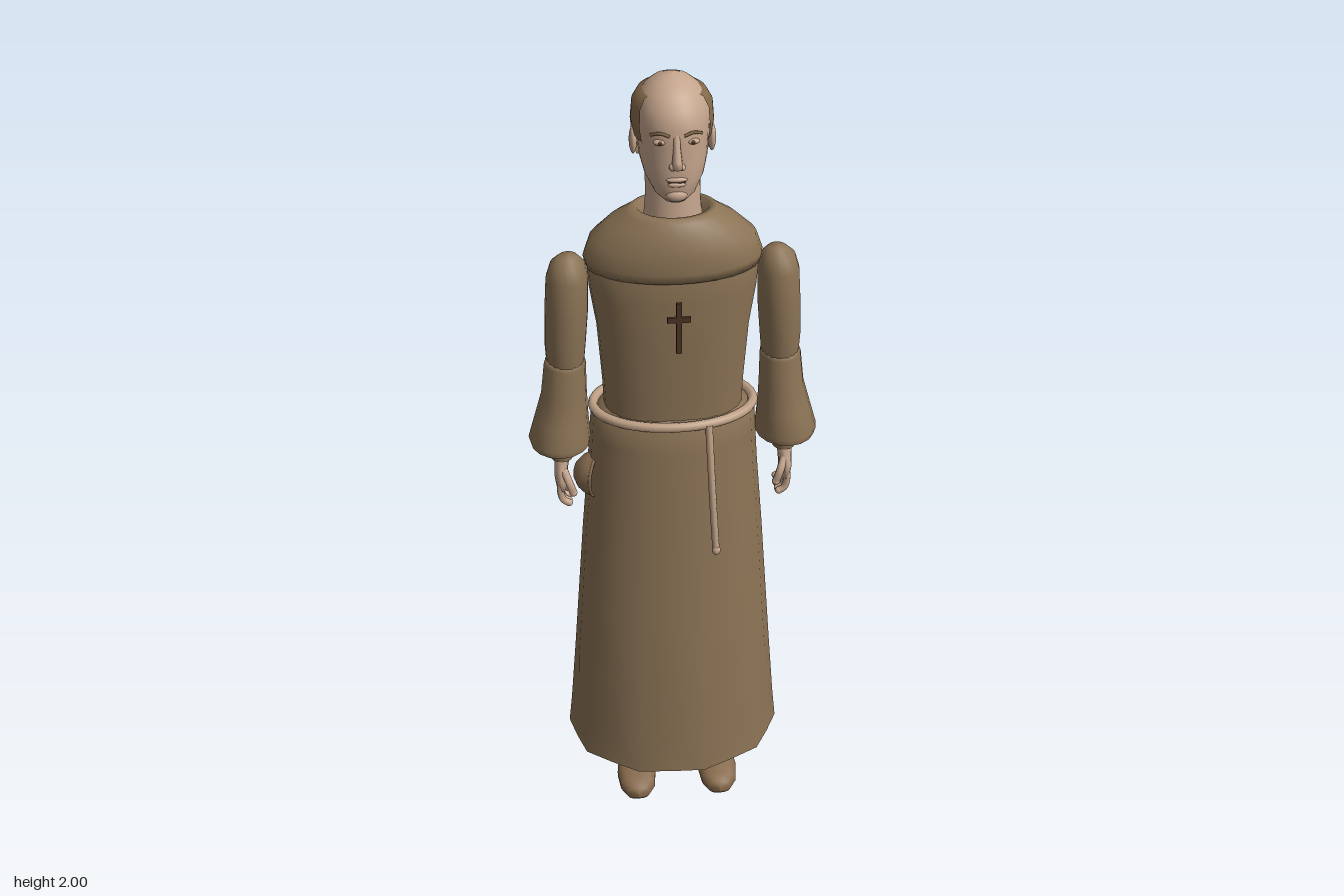
import * as THREE from 'three';

const mat = (name, color, side = THREE.FrontSide) => {
  const m = new THREE.MeshStandardMaterial({ color, side });
  m.name = name;
  return m;
};

// Loft of oval sections from low to high: [y, halfWidth, zFront, zBack, centreX]
function loft(sections, { segs = 24, from = 0, to = Math.PI * 2, square = 1, phase = 0 } = {}) {
  const full = to - from > 6.28, cols = full ? segs : segs + 1;
  const pos = [], idx = [];
  const bend = v => Math.sign(v) * Math.pow(Math.abs(v), square);
  sections.forEach(([y, hw, zf, zb, cx = 0]) => {
    for (let i = 0; i < cols; i++) {
      const a = from + phase + (to - from) * i / segs;
      pos.push(cx + bend(Math.sin(a)) * hw, y, (zf + zb) / 2 + bend(Math.cos(a)) * (zf - zb) / 2);
    }
  });
  for (let r = 0; r < sections.length - 1; r++) {
    for (let i = 0; i < segs; i++) {
      const a = r * cols + i, b = r * cols + (i + 1) % cols;
      idx.push(a, b, a + cols, b, b + cols, a + cols);
    }
  }
  const g = new THREE.BufferGeometry();
  g.setAttribute('position', new THREE.Float32BufferAttribute(pos, 3));
  g.setIndex(idx);
  g.computeVertexNormals();
  return g;
}

const tube = (points, r, closed = false, n = 12, sides = 8) => new THREE.TubeGeometry(
  new THREE.CatmullRomCurve3(points.map(p => new THREE.Vector3(...p)), closed), n, r, sides, closed);

export function createModel() {
  const root = new THREE.Group();
  root.name = 'robedMan';
  const robe = mat('robeBrown', 0x8b7355, THREE.DoubleSide);
  const skin = mat('skin', 0xc4a48c);
  const hair = mat('hairBrown', 0x85694a, THREE.DoubleSide);
  const rope = mat('ropeTan', 0xbfa085);
  const dark = mat('darkWood', 0x4a3422);
  const shoe = mat('shoeLeather', 0x86694b);
  const clay = mat('bowlBrown', 0x876c50, THREE.DoubleSide);

  const add = (name, geo, material, parent = root) => {
    const m = new THREE.Mesh(geo, material);
    m.name = name;
    parent.add(m);
    return m;
  };
  const ball = (name, material, p, s, parent = root) => {
    const m = add(name, new THREE.SphereGeometry(1, 20, 14), material, parent);
    m.position.set(...p);
    m.scale.set(...s);
    return m;
  };

  // Skirt, with a ten-sided hem
  const skirt = loft([
    [0.115, 0.288, 0.222, -0.222], [0.2, 0.279, 0.214, -0.214], [0.4, 0.262, 0.2, -0.2],
    [0.6, 0.246, 0.183, -0.184], [0.8, 0.23, 0.166, -0.168], [1.0, 0.212, 0.15, -0.15],
    [1.1, 0.205, 0.143, -0.138], [1.165, 0.2, 0.135, -0.113], [1.185, 0.165, 0.115, -0.09],
  ], { segs: 20, phase: 0.23 });
  const sp = skirt.attributes.position;
  for (let i = 1; i < 40; i += 2) sp.setXYZ(i, sp.getX(i) * 0.96, sp.getY(i), sp.getZ(i) * 0.96);
  skirt.computeVertexNormals();
  add('skirt', skirt, robe);

  // Torso and shoulder cowl
  add('torso', loft([
    [1.17, 0.168, 0.118, -0.09], [1.25, 0.171, 0.12, -0.092], [1.4, 0.181, 0.128, -0.1],
    [1.5, 0.196, 0.13, -0.105], [1.58, 0.202, 0.128, -0.105], [1.64, 0.16, 0.11, -0.085],
  ], { segs: 28, square: 0.92 }), robe);
  add('cowl', loft([
    [1.565, 0.17, 0.11, -0.085], [1.557, 0.203, 0.134, -0.11], [1.58, 0.208, 0.139, -0.116],
    [1.625, 0.192, 0.136, -0.112], [1.665, 0.148, 0.123, -0.092], [1.69, 0.11, 0.107, -0.064],
    [1.7, 0.098, 0.097, -0.054], [1.698, 0.084, 0.084, -0.05], [1.67, 0.066, 0.07, -0.045],
  ], { segs: 28 }), robe);
  ball('hood', robe, [0, 1.525, -0.128], [0.125, 0.118, 0.047]).rotation.x = 0.08;

  // Rope belt and hanging cord
  const ring = [];
  for (let i = 0; i < 16; i++) {
    const a = i / 16 * Math.PI * 2;
    ring.push([Math.sin(a) * 0.196, 1.175, 0.013 + Math.cos(a) * 0.124]);
  }
  add('ropeBelt', tube(ring, 0.012, true, 48), rope);
  add('hangingCord', tube([[0.074, 1.175, 0.135], [0.077, 1.1, 0.15], [0.083, 0.96, 0.172], [0.09, 0.835, 0.187]], 0.009), rope);
  ball('cordEnd', rope, [0.09, 0.84, 0.187], [0.011, 0.013, 0.011]);

  // Wooden cross on the chest
  const cross = new THREE.Group();
  cross.name = 'cross';
  cross.position.set(0, 1.455, 0.153);
  root.add(cross);
  add('crossPost', new THREE.BoxGeometry(0.013, 0.13, 0.008), dark, cross);
  add('crossBar', new THREE.BoxGeometry(0.054, 0.013, 0.008), dark, cross).position.y = 0.022;

  // Arms, hands, legs and shoes
  for (const s of [1, -1]) {
    const side = s > 0 ? 'left' : 'right';
    const shift = rows => rows.map(([y, hw, zf, zb, x]) => [y, hw, zf, zb, x * s]);
    add(side + 'UpperSleeve', loft(shift([
      [1.29, 0.044, 0.066, -0.03, 0.258], [1.36, 0.049, 0.074, -0.037, 0.256],
      [1.45, 0.051, 0.078, -0.04, 0.25], [1.53, 0.049, 0.075, -0.038, 0.246],
      [1.565, 0.04, 0.062, -0.024, 0.244], [1.583, 0.022, 0.042, -0.004, 0.242],
      [1.587, 0, 0.02, 0.02, 0.242],
    ]), { segs: 20 }), robe);
    add(side + 'BellSleeve', loft(shift([
      [1.078, 0.073, 0.1, -0.066, 0.278], [1.095, 0.076, 0.104, -0.069, 0.279],
      [1.15, 0.066, 0.09, -0.056, 0.273], [1.22, 0.055, 0.077, -0.043, 0.264],
      [1.3, 0.05, 0.071, -0.036, 0.259], [1.314, 0.046, 0.067, -0.032, 0.258],
      [1.314, 0.03, 0.05, -0.01, 0.258],
    ]), { segs: 16 }), robe);
    add(side + 'Cuff', loft(shift([
      [1.035, 0.028, 0.052, -0.01, 0.276], [1.09, 0.033, 0.057, -0.015, 0.275],
      [1.2, 0.038, 0.06, -0.02, 0.265],
    ]), { segs: 14 }), robe);
    add(side + 'Palm', loft(shift([
      [0.945, 0, 0.025, 0.025, 0.28], [0.952, 0.013, 0.062, -0.012, 0.28],
      [0.985, 0.016, 0.07, -0.016, 0.281], [1.01, 0.017, 0.062, -0.01, 0.279],
      [1.04, 0.02, 0.045, 0, 0.276], [1.09, 0.023, 0.045, -0.002, 0.276],
    ]), { segs: 14 }), skin);
    for (let f = 0; f < 4; f++) {
      const z = -0.004 + f * 0.0195, drop = [0.012, 0.002, 0, 0.006][f];
      add(side + 'Finger' + (f + 1), tube([
        [0.283 * s, 0.972, z], [0.283 * s, 0.942, z], [0.277 * s, 0.918 + drop, z], [0.264 * s, 0.909 + drop, z],
      ], 0.0092, false, 8, 7), skin);
      ball(side + 'FingerTip' + (f + 1), skin, [0.264 * s, 0.909 + drop, z], [0.0095, 0.0092, 0.0092]);
    }
    add(side + 'Thumb', tube([[0.274 * s, 1.012, 0.05], [0.262 * s, 0.985, 0.07], [0.253 * s, 0.955, 0.07]], 0.01, false, 8, 7), skin);
    ball(side + 'ThumbTip', skin, [0.253 * s, 0.955, 0.07], [0.01, 0.01, 0.01]);

    add(side + 'Leg', loft([
      [0.08, 0.035, 0.035, -0.04, 0.11 * s], [0.18, 0.037, 0.035, -0.042, 0.11 * s],
      [0.35, 0.05, 0.045, -0.06, 0.108 * s], [0.6, 0.055, 0.055, -0.055, 0.1 * s],
    ], { segs: 16 }), skin);
    // Sections run heel to toe, then the shape is laid down
    const foot = loft([
      [-0.064, 0, 0, -0.03], [-0.056, 0.026, 0, -0.058], [-0.035, 0.038, 0, -0.095],
      [0, 0.041, 0, -0.118], [0.035, 0.042, 0, -0.105], [0.075, 0.046, 0, -0.075],
      [0.125, 0.053, 0, -0.064], [0.17, 0.047, 0, -0.054], [0.193, 0.03, 0, -0.042], [0.2, 0, -0.01, -0.025],
    ], { segs: 18, square: 0.8 }).rotateX(Math.PI / 2);
    add(side + 'Shoe', foot, shoe).position.x = 0.112 * s;
  }

  // Bowl held in the right hand
  const bowl = new THREE.Group();
  bowl.name = 'bowl';
  bowl.position.set(-0.242, 0.977, 0);
  bowl.rotation.set(0, -0.42, -Math.PI / 2, 'YXZ');
  root.add(bowl);
  const profile = [[0, 0], [0.024, 0.002], [0.044, 0.018], [0.055, 0.038], [0.059, 0.058]];
  add('bowlShell', new THREE.LatheGeometry(profile.map(p => new THREE.Vector2(...p)), 24), clay, bowl);
  const rim = add('bowlRim', new THREE.TorusGeometry(0.057, 0.004, 6, 24), clay, bowl);
  rim.position.y = 0.058;
  rim.rotation.x = Math.PI / 2;

  // Neck and head
  add('neck', loft([
    [1.64, 0.07, 0.075, -0.055], [1.72, 0.063, 0.067, -0.05], [1.82, 0.062, 0.06, -0.06],
  ]), skin);
  const skull = [
    [1.735, 0, 0.075, 0.05], [1.738, 0.026, 0.09, 0.03], [1.755, 0.046, 0.1, 0.005],
    [1.79, 0.066, 0.102, -0.04], [1.825, 0.076, 0.102, -0.08], [1.87, 0.081, 0.099, -0.1],
    [1.91, 0.083, 0.1, -0.106], [1.945, 0.077, 0.086, -0.1], [1.97, 0.062, 0.064, -0.084],
    [1.987, 0.042, 0.04, -0.06], [1.997, 0.02, 0.01, -0.03], [2.0, 0, -0.01, -0.01],
  ];
  add('head', loft(skull, { segs: 28, square: 0.95 }), skin);

  // Tonsure: a ring of hair open at the brow
  add('hairBack', loft([
    [1.81, 0.06, 0.05, -0.07], [1.815, 0.08, 0.08, -0.09], [1.85, 0.089, 0.1, -0.109],
    [1.9, 0.093, 0.105, -0.118], [1.94, 0.089, 0.095, -0.114], [1.962, 0.076, 0.078, -0.1], [1.967, 0.056, 0.06, -0.076],
  ], { segs: 24, from: 1.62, to: 4.66 }), hair);
  for (const s of [1, -1]) {
    const mid = s * 1.32;
    add(s > 0 ? 'leftTemple' : 'rightTemple', loft([
      [1.865, 0.08, 0.095, -0.1], [1.87, 0.087, 0.103, -0.109], [1.9, 0.092, 0.106, -0.117],
      [1.94, 0.089, 0.095, -0.114], [1.962, 0.076, 0.078, -0.1], [1.967, 0.056, 0.06, -0.076],
    ], { segs: 6, from: mid - 0.33, to: mid + 0.33 }), hair);
    ball('ear', skin, [s * 0.088, 1.853, 0.002], [0.009, 0.032, 0.018]);
    // Eyes and brows
    ball('eyeSocket', rope, [s * 0.036, 1.881, 0.088], [0.015, 0.007, 0.009]);
    ball('pupil', dark, [s * 0.036, 1.881, 0.094], [0.006, 0.005, 0.004]);
    add('brow', tube([[s * 0.016, 1.898, 0.1], [s * 0.036, 1.904, 0.095], [s * 0.056, 1.897, 0.083]], 0.0035, false, 8, 6), hair);
    ball('nostril', skin, [s * 0.01, 1.829, 0.106], [0.008, 0.008, 0.011]);
  }

  // Nose, mouth and chin
  add('nose', loft([
    [1.822, 0.004, 0.108, 0.09], [1.829, 0.012, 0.127, 0.09], [1.845, 0.011, 0.122, 0.09],
    [1.87, 0.008, 0.11, 0.09], [1.9, 0.008, 0.1, 0.085],
  ], { segs: 12 }), skin);
  ball('upperLip', skin, [0, 1.797, 0.1], [0.024, 0.006, 0.007]);
  ball('mouth', dark, [0, 1.791, 0.1], [0.021, 0.0018, 0.005]);
  ball('lowerLip', skin, [0, 1.785, 0.099], [0.02, 0.006, 0.007]);
  ball('chin', skin, [0, 1.757, 0.09], [0.025, 0.016, 0.016]);
  return root;
}
